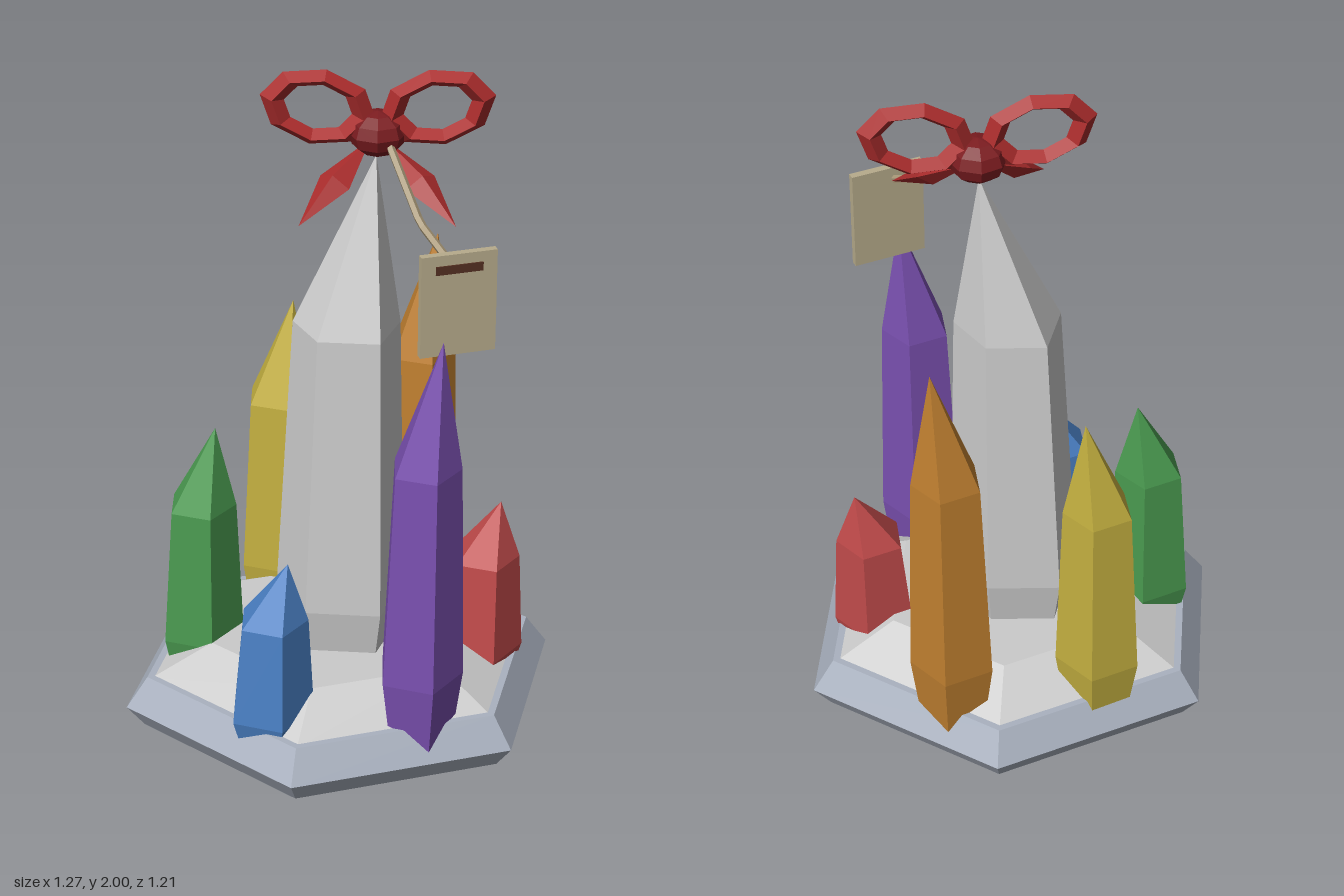
import * as THREE from 'three';

const mat = (color) => new THREE.MeshStandardMaterial({ color, flatShading: true });

function add(parent, name, geometry, material) {
  const mesh = new THREE.Mesh(geometry, material);
  mesh.name = name;
  parent.add(mesh);
  return mesh;
}

// Faceted solid from stacked rings [scale, y, offsetX, offsetZ] of one outline
// of [x, z] points, listed from the bottom up and closed at both ends.
function stack(outline, rings) {
  const n = outline.length, pos = [];
  const at = ([s, y, ox = 0, oz = 0], i) => [ox + outline[i % n][0] * s, y, oz + outline[i % n][1] * s];
  const tri = (a, b, c) => pos.push(...a, ...b, ...c);
  for (let i = 0; i < n; i++) {
    for (let k = 0; k < rings.length - 1; k++) {
      const a = at(rings[k], i), b = at(rings[k], i + 1);
      const c = at(rings[k + 1], i + 1), d = at(rings[k + 1], i);
      if (rings[k][0] > 0) tri(a, d, b);
      if (rings[k + 1][0] > 0) tri(b, d, c);
    }
    const low = rings[0], top = rings[rings.length - 1];
    if (low[0] > 0) tri([low[2] || 0, low[1], low[3] || 0], at(low, i), at(low, i + 1));
    if (top[0] > 0) tri([top[2] || 0, top[1], top[3] || 0], at(top, i + 1), at(top, i));
  }
  const g = new THREE.BufferGeometry();
  g.setAttribute('position', new THREE.Float32BufferAttribute(pos, 3));
  g.computeVertexNormals();
  return g;
}

const polar = (r, deg) => {
  const a = THREE.MathUtils.degToRad(deg);
  return [r * Math.cos(a), r * Math.sin(a)];
};

// Crystal: narrow foot, widest low down, tapering to a shoulder, leaning tip
function crystal(outline, tipY, leanX, leanZ) {
  const foot = 0.07, h = tipY - foot;
  return stack(outline, [
    [0.75, foot],
    [1, foot + h * 0.19],
    [0.81, foot + h * 0.705, leanX * 0.18, leanZ * 0.18],
    [0, tipY, leanX, leanZ],
  ]);
}

export function createModel() {
  const model = new THREE.Group();
  model.name = 'crystalCluster';

  // Hexagonal stone base with bevelled rims and a low mound
  const hex = [];
  for (let i = 0; i < 6; i++) {
    const [x, z] = polar(0.67, -18.5 + i * 60);
    hex.push([x, z * 0.92]);
  }
  add(model, 'base', stack(hex, [[0.92, 0], [1, 0.07], [0.9, 0.165]]), mat(0xaab2c0));
  add(model, 'baseMound', stack(hex, [[0.88, 0.16], [0.6, 0.25]]), mat(0xcccccc));

  // Tall central crystal, slightly irregular six sides
  const centralOutline = [[0.19, 0], [0.225, 58], [0.2, 120], [0.19, 180], [0.228, 241], [0.2, 300]]
    .map(([r, a]) => polar(r, a));
  add(model, 'centralCrystal', crystal(centralOutline, 1.75, 0.1, -0.04), mat(0xcccccc));

  // Ring of six coloured five-sided crystals
  const pentagon = [0, 1, 2, 3, 4].map((i) => polar(0.128, i * 72));
  const small = [
    ['redCrystal', 0.42, 0, 0.66, 0xc04a4a],
    ['purpleCrystal', 0.23, 0.37, 1.36, 0x7a50b0],
    ['blueCrystal', -0.2, 0.37, 0.66, 0x4a80c4],
    ['greenCrystal', -0.42, 0, 0.9, 0x4a9a50],
    ['yellowCrystal', -0.2, -0.37, 1.14, 0xc4b040],
    ['orangeCrystal', 0.23, -0.375, 1.36, 0xc08030],
  ];
  for (const [name, x, z, tipY, color] of small) {
    add(model, name, crystal(pentagon, tipY, 0.055, -0.02), mat(color)).position.set(x, 0, z);
  }

  // Ribbon bow on the tip
  const bow = new THREE.Group();
  bow.name = 'bow';
  bow.position.set(0.103, 1.815, -0.043);
  model.add(bow);
  const ribbon = mat(0xaa2c2c), darkRibbon = mat(0x7c1c20);
  const knot = add(bow, 'bowKnot', new THREE.SphereGeometry(0.083, 8, 6), darkRibbon);
  knot.scale.y = 0.78;
  for (const s of [-1, 1]) {
    // Loop with a diamond section
    const loop = add(bow, 'bowLoop', new THREE.TorusGeometry(0.13, 0.034, 4, 8), ribbon);
    loop.scale.set(1, 0.68, 1);
    loop.rotation.z = s * 0.22;
    loop.position.set(s * 0.165, 0.075, 0);
    // Kite-shaped tail hanging forward
    const root = new THREE.Vector3(s * 0.02, -0.02, 0);
    const tip = new THREE.Vector3(s * 0.215, -0.19, 0.215);
    const half = root.distanceTo(tip) / 2;
    const geo = new THREE.OctahedronGeometry(1).scale(0.05, 0.032, half);
    const tail = add(bow, 'bowTail', geo, ribbon);
    tail.position.copy(root).add(tip).multiplyScalar(0.5);
    tail.quaternion.setFromUnitVectors(new THREE.Vector3(0, 0, 1), tip.sub(root).normalize());
  }

  // String from the knot to the tag
  const path = new THREE.CurvePath();
  const points = [[0.13, 1.81, 0], [0.22, 1.63, 0.16], [0.3, 1.565, 0.275]].map((p) => new THREE.Vector3(...p));
  path.add(new THREE.LineCurve3(points[0], points[1]));
  path.add(new THREE.LineCurve3(points[1], points[2]));
  add(model, 'string', new THREE.TubeGeometry(path, 12, 0.012, 5), mat(0xa89878));

  // Hanging tag with a dark slot
  const tag = new THREE.Group();
  tag.name = 'tag';
  tag.position.set(0.322, 1.45, 0.285);
  tag.rotation.y = 0.3;
  model.add(tag);
  add(tag, 'tagPlate', new THREE.BoxGeometry(0.217, 0.3, 0.022), mat(0xb8ac8c));
  add(tag, 'tagSlot', new THREE.BoxGeometry(0.135, 0.025, 0.008), mat(0x553022)).position.set(0, 0.107, 0.011);

  return model;
}
